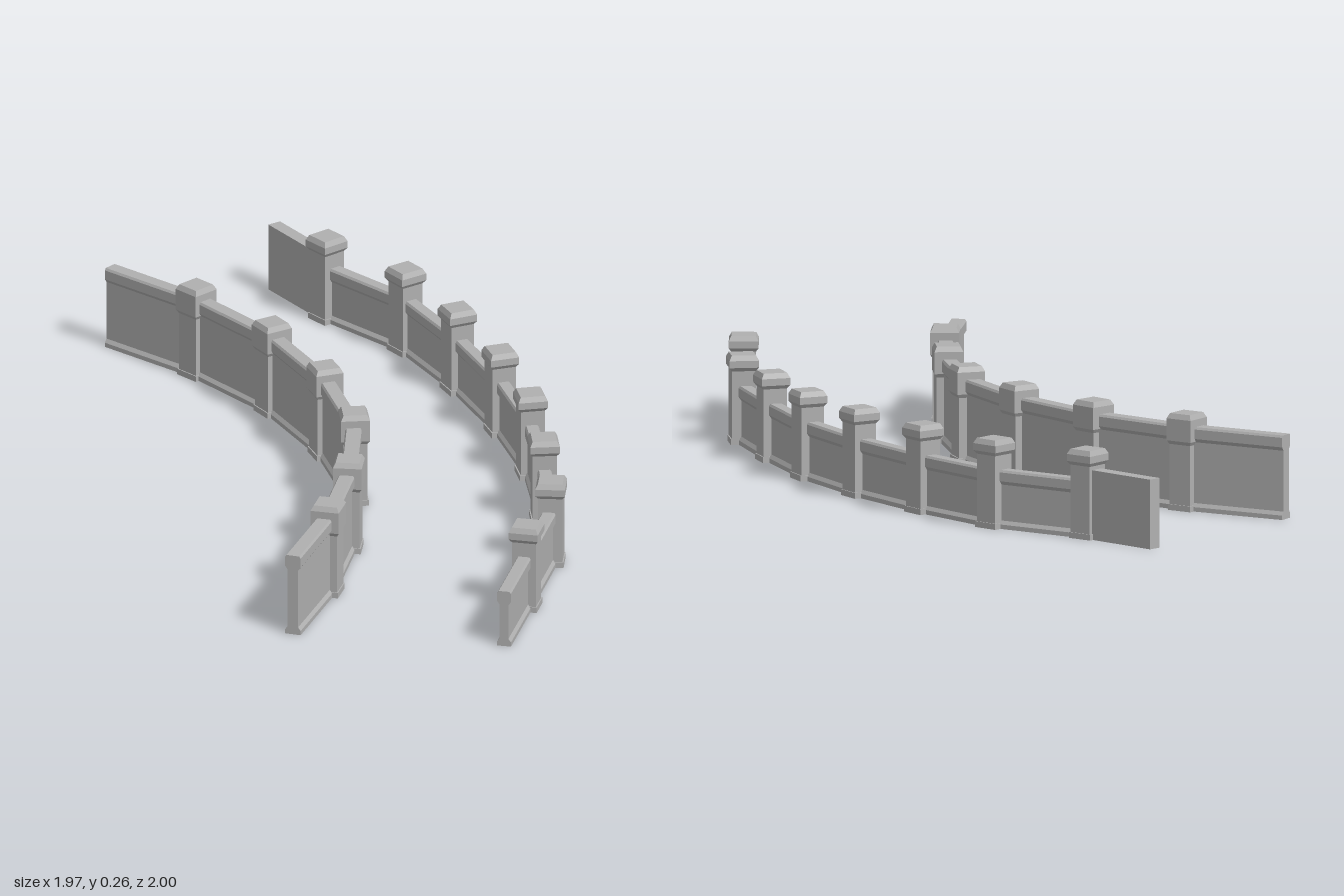
import * as THREE from 'three';

const stone = new THREE.MeshStandardMaterial({ color: 0xb0b0b0 });
stone.name = 'grey stone';

// Half profile [half width, height], mirrored into a closed wall section
function section(half) {
  const left = half.map(([w, y]) => [-w, y]).reverse();
  return new THREE.Shape([...half, ...left].map(([w, y]) => new THREE.Vector2(w, y)));
}

// Plinth, recessed panel and chamfered coping
const copedSection = (w, top, copingY) => section([
  [w, 0], [w, 0.012], [w - 0.007, 0.022], [w - 0.007, copingY - 0.006],
  [w, copingY + 0.004], [w, top - 0.006], [w - 0.004, top],
]);

// Straight wall run between two plan points
function wallRun(shape, a, b, name) {
  const dx = b[0] - a[0], dz = b[1] - a[1];
  const geo = new THREE.ExtrudeGeometry(shape, { depth: Math.hypot(dx, dz), bevelEnabled: false });
  const mesh = new THREE.Mesh(geo, stone);
  mesh.position.set(a[0], 0, a[1]);
  mesh.rotation.y = Math.atan2(dx, dz);
  mesh.name = name;
  return mesh;
}

// Square tapered block from y0 to y1
function block(w0, w1, y0, y1, name) {
  const geo = new THREE.CylinderGeometry(w1 * Math.SQRT1_2, w0 * Math.SQRT1_2, y1 - y0, 4).toNonIndexed();
  geo.rotateY(Math.PI / 4);
  geo.translate(0, (y0 + y1) / 2, 0);
  geo.computeVertexNormals();
  const mesh = new THREE.Mesh(geo, stone);
  mesh.name = name;
  return mesh;
}

// Pillar: foot, shaft, flared neck, cap and chamfered top
function pillar(p, angle, s) {
  const g = new THREE.Group();
  g.name = 'pillar';
  g.add(
    block(s.shaft + 0.006, s.shaft + 0.006, 0, 0.016, 'pillarFoot'),
    block(s.shaft, s.shaft, 0.016, s.capY, 'pillarShaft'),
    block(s.shaft, s.cap, s.capY, s.capY + 0.01, 'pillarNeck'),
    block(s.cap, s.cap, s.capY + 0.01, s.top - 0.014, 'pillarCap'),
    block(s.cap, s.cap - 0.014, s.top - 0.014, s.top, 'pillarTop'),
  );
  g.position.set(p[0], 0, p[1]);
  g.rotation.y = angle;
  return g;
}

function buildWall(name, points, style) {
  const wall = new THREE.Group();
  wall.name = name;
  for (let i = 0; i < points.length - 1; i++) {
    const shape = i === 0 && style.firstShape ? style.firstShape : style.shape;
    wall.add(wallRun(shape, points[i], points[i + 1], 'wallPanel'));
  }
  for (let i = 1; i < points.length - 1; i++) {
    const a = points[i - 1], b = points[i + 1];
    wall.add(pillar(points[i], Math.atan2(b[0] - a[0], b[1] - a[1]), style));
  }
  return wall;
}

export function createModel() {
  const model = new THREE.Group();
  model.name = 'curvedWalls';

  // Taller inner wall
  model.add(buildWall('innerWall', [
    [-0.985, -0.43], [-0.683, -0.375], [-0.38, -0.264], [-0.108, -0.087],
    [0.118, 0.138], [0.27, 0.42], [0.373, 0.7], [0.437, 0.993],
  ], { shape: copedSection(0.022, 0.23, 0.194), shaft: 0.066, cap: 0.078, capY: 0.18, top: 0.264 }));

  // Lower outer wall, ending in a plain raised slab
  model.add(buildWall('outerWall', [
    [-0.802, -0.983], [-0.575, -0.878], [-0.283, -0.802], [-0.027, -0.646], [0.217, -0.462],
    [0.435, -0.255], [0.62, -0.015], [0.785, 0.222], [0.881, 0.512], [0.965, 0.77],
  ], {
    shape: copedSection(0.019, 0.16, 0.126),
    firstShape: section([[0.019, 0], [0.019, 0.19]]),
    shaft: 0.066, cap: 0.08, capY: 0.2, top: 0.243,
  }));
  return model;
}
